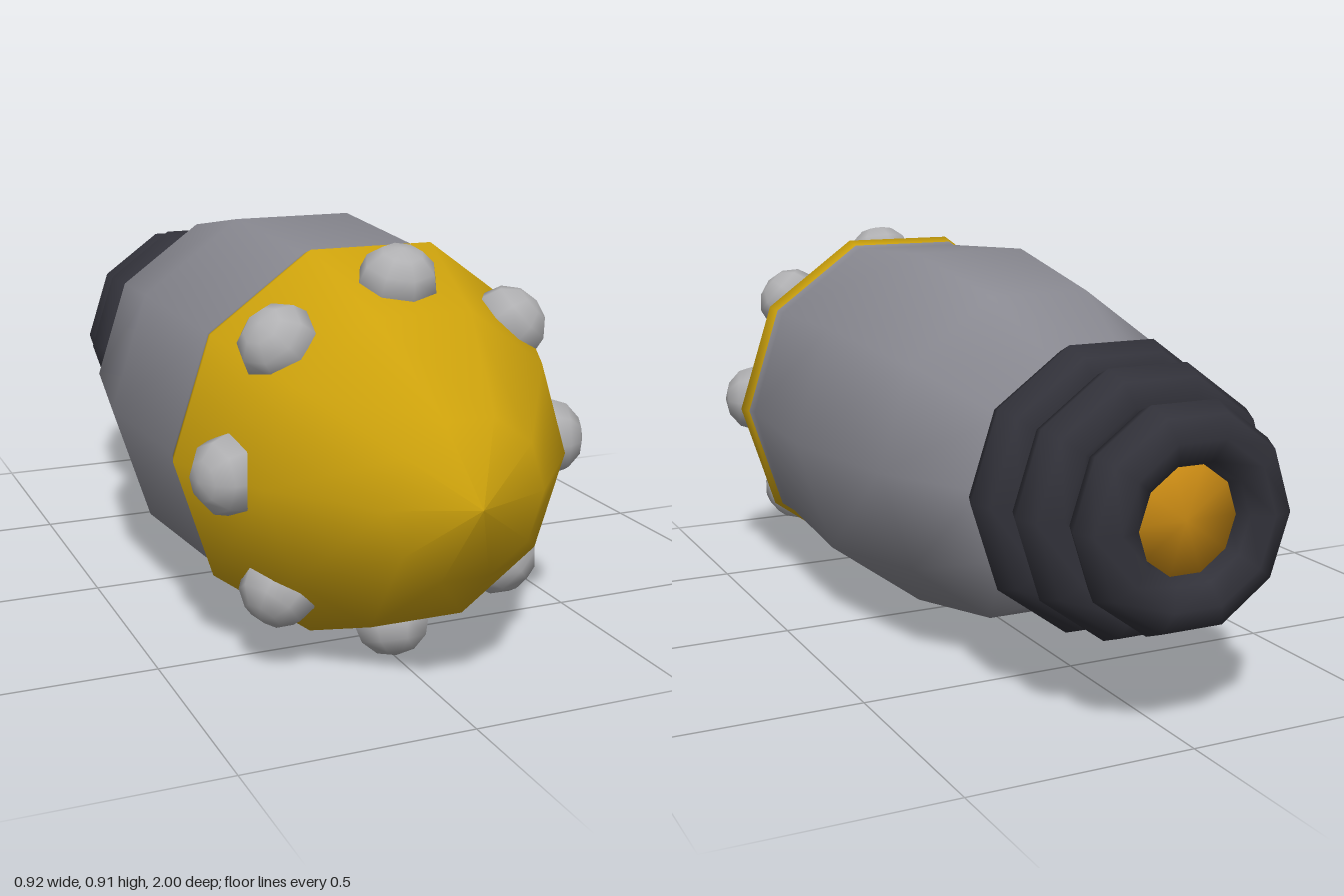
import * as THREE from 'three';

const AXIS_Y = 0.457; // height of the long axis
const SIDES = 10;

function mat(color) {
  return new THREE.MeshStandardMaterial({ color });
}

// Ten-sided turned part along z; the profile runs from back to front as [z, radius]
function turned(name, profile, material) {
  const points = profile.map(([z, r]) => new THREE.Vector2(r, z));
  const geometry = new THREE.LatheGeometry(points, SIDES, Math.PI / 2);
  geometry.rotateX(Math.PI / 2);
  const mesh = new THREE.Mesh(geometry, material);
  mesh.name = name;
  return mesh;
}

export function createModel() {
  const model = new THREE.Group();
  model.name = 'studdedCapsule';
  const hull = new THREE.Group();
  hull.name = 'hull';
  hull.position.y = AXIS_Y;
  model.add(hull);

  const grey = mat(0x8a8a92);
  const yellow = mat(0xcda20c);
  const dark = mat(0x32323a);
  const orange = mat(0xc98a14);
  const studGrey = mat(0xb0b0b2);

  // Barrel-shaped body, closed at the back
  hull.add(turned('body', [[-0.58, 0], [-0.58, 0.266], [-0.335, 0.392], [0.03, 0.458],
    [0.42, 0.434], [0.445, 0.441]], grey));

  // Rounded nose
  hull.add(turned('nose', [[0.445, 0.441], [0.48, 0.452], [0.73, 0.345],
    [0.935, 0.171], [1, 0]], yellow));

  // Three stepped rings behind the body
  [[-0.655, 0.252, 0.072], [-0.797, 0.224, 0.072], [-0.932, 0.175, 0.068]].forEach(([z, radius, tube], i) => {
    const ring = new THREE.Mesh(new THREE.TorusGeometry(radius, tube, 8, SIDES), dark);
    ring.name = `tailRing${i + 1}`;
    ring.position.z = z;
    hull.add(ring);
  });

  // Glowing core seen through the last ring
  hull.add(turned('tailCore', [[-0.95, 0], [-0.95, 0.13], [-0.57, 0.13]], orange));

  // Flattened studs around the nose, leaning forward with its surface
  const studGeometry = new THREE.SphereGeometry(1, 8, 6);
  studGeometry.scale(0.088, 0.078, 0.084);
  studGeometry.rotateX(0.35);
  for (let i = 0; i < 8; i++) {
    const pivot = new THREE.Group();
    pivot.name = `studMount${i + 1}`;
    pivot.rotation.z = (i * Math.PI) / 4;
    const stud = new THREE.Mesh(studGeometry, studGrey);
    stud.name = 'stud';
    stud.position.set(0, 0.375, 0.608);
    pivot.add(stud);
    hull.add(pivot);
  }

  return model;
}
